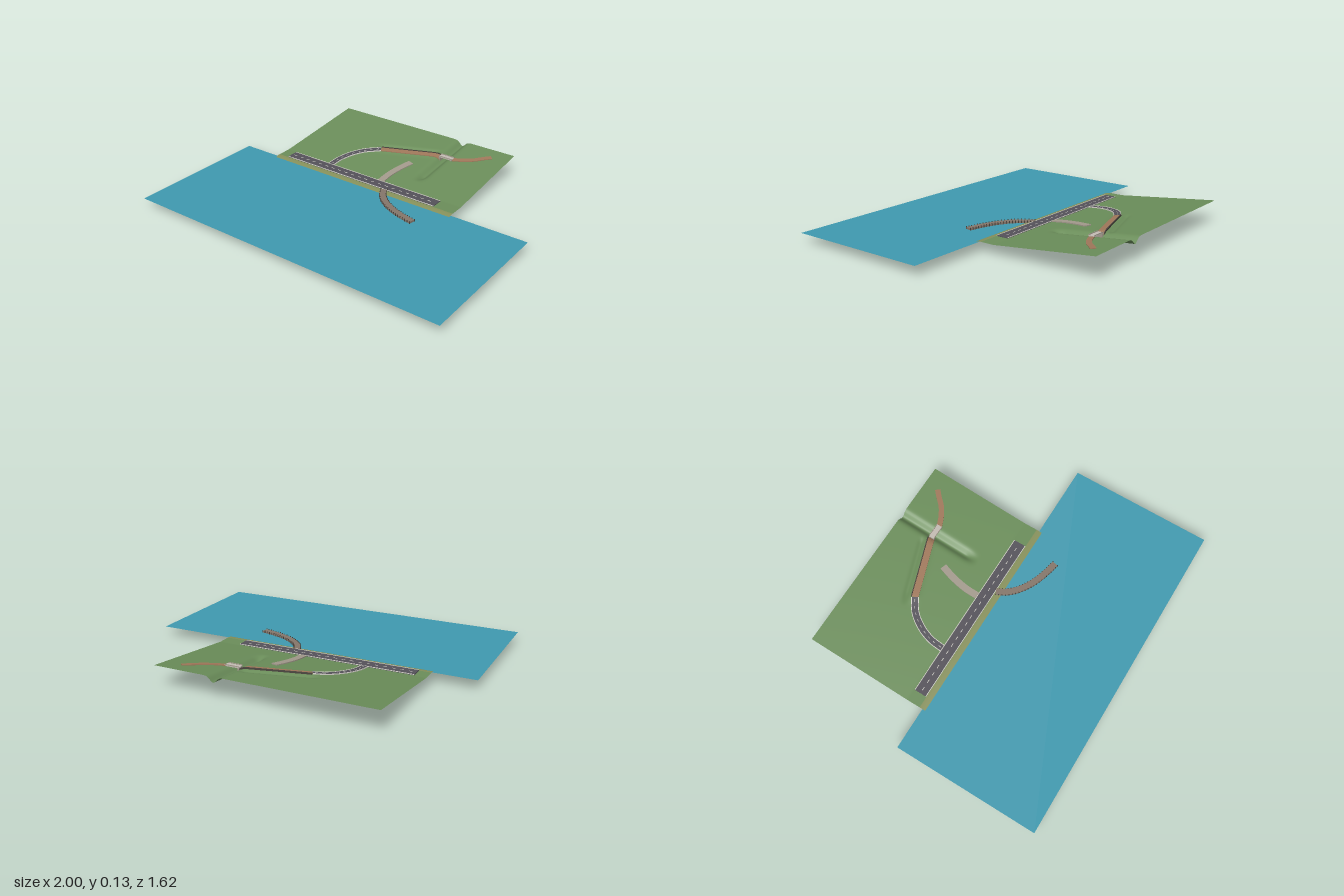
import * as THREE from 'three';
import { mergeGeometries } from 'three/addons/utils/BufferGeometryUtils.js';

export function createModel() {
  const root = new THREE.Group();
  const mat = (name, color, double) => {
    const m = new THREE.MeshStandardMaterial({ color });
    m.name = name;
    if (double) m.side = THREE.DoubleSide;
    return m;
  };
  const grass = mat('grass', 0x6b8e5a, true), shore = mat('shore', 0x86905a, true);
  const sea = mat('water', 0x3f9ab0, true), asphalt = mat('asphalt', 0x55525a);
  const paint = mat('paint', 0xd2d0c8), earth = mat('earth', 0xa0785a);
  const stone = mat('stone', 0xa39a8c), concrete = mat('concrete', 0xc4bcb4);
  const timber = mat('timber', 0x85766a), dark = mat('darkRail', 0x4a443e);

  const add = (name, geo, material) => {
    const m = new THREE.Mesh(geo, material);
    m.name = name;
    root.add(m);
    return m;
  };
  const bump = (d, w) => Math.exp(-((d / w) ** 2));
  const step = THREE.MathUtils.smoothstep;

  // Ground height: seabed, road shelf, slope, raised trail with ditch, gully
  function ground(x, z) {
    if (z > -0.075) return 0.0625 * (0.19 - z) / 0.265;
    let y = 0.0625 + 0.112 * Math.max(0, -0.175 - z);
    const px = x + 0.23, pz = z + 0.46;
    const along = px * 0.949 - pz * 0.316, d = -px * 0.316 - pz * 0.949;
    const fade = step(along, -0.06, 0.03) * (1 - step(along, 0.34, 0.4));
    y += fade * (0.007 * bump(d, 0.026) - 0.008 * bump(d - 0.055, 0.016));
    const deep = step(-z, 0.27, 0.37) * (0.026 + 0.016 * Math.max(0, -z - 0.37));
    return y - deep * bump(x - 0.165, 0.026);
  }

  function land(name, z0, z1, nx, nz, material) {
    const g = new THREE.PlaneGeometry(1.28, z1 - z0, nx, nz);
    g.rotateX(-Math.PI / 2).translate(-0.11, 0, (z0 + z1) / 2);
    const p = g.attributes.position;
    for (let i = 0; i < p.count; i++) p.setY(i, ground(p.getX(i), p.getZ(i)));
    g.computeVertexNormals();
    add(name, g, material);
  }
  land('hillside', -0.81, -0.088, 150, 100, grass);
  land('shore', -0.088, 0.19, 8, 20, shore);

  const water = new THREE.PlaneGeometry(2, 0.875);
  water.rotateX(-Math.PI / 2).translate(0, 0.057, 0.3675);
  add('water', water, sea);

  const path = pts => new THREE.CatmullRomCurve3(pts.map(([x, z]) => new THREE.Vector3(x, 0, z)));
  // Point beside a path at offset o
  function beside(curve, t, o) {
    const p = curve.getPointAt(t), d = curve.getTangentAt(t);
    return [p.x - d.z * o, p.z + d.x * o];
  }
  // Solid band following a path between two side offsets
  function band(curve, a, b, height, thick, t0 = 0, t1 = 1, n = 48) {
    const pos = [], idx = [];
    for (let i = 0; i <= n; i++) {
      const t = t0 + (t1 - t0) * i / n;
      const [ax, az] = beside(curve, t, a), [bx, bz] = beside(curve, t, b);
      const ya = height(ax, az), yb = height(bx, bz);
      pos.push(ax, ya, az, bx, yb, bz, bx, yb - thick, bz, ax, ya - thick, az);
      if (i < n) for (let k = 0; k < 4; k++) {
        const p = i * 4 + k, q = i * 4 + (k + 1) % 4;
        idx.push(p, q, p + 4, q, q + 4, p + 4);
      }
    }
    const e = n * 4;
    idx.push(0, 2, 1, 0, 3, 2, e, e + 1, e + 2, e, e + 2, e + 3);
    let g = new THREE.BufferGeometry();
    g.setAttribute('position', new THREE.Float32BufferAttribute(pos, 3));
    g.setIndex(idx);
    g = g.toNonIndexed();
    g.computeVertexNormals();
    return g;
  }
  const above = h => (x, z) => ground(x, z) + h;
  const level = h => () => h;
  const box = (w, h, d, x, y, z) => new THREE.BoxGeometry(w, h, d).translate(x, y, z);

  // Coast road with edge lines and centre dashes
  add('coastRoad', box(1.08, 0.004, 0.076, -0.14, 0.0645, -0.128), asphalt);
  const lines = [-1, 1].map(s => box(1.08, 0.003, 0.004, -0.14, 0.0665, -0.128 + s * 0.037));
  for (let x = -0.65; x < 0.39; x += 0.05) lines.push(box(0.022, 0.002, 0.004, x, 0.0665, -0.128));
  add('roadMarkings', mergeGeometries(lines), paint);

  // Curved side road
  const side = path([[-0.395, -0.165], [-0.387, -0.25], [-0.355, -0.335], [-0.3, -0.41], [-0.225, -0.462]]);
  add('sideRoad', band(side, -0.019, 0.019, above(0.005), 0.004), asphalt);
  const sideLines = [-1, 1].map(s => band(side, s * 0.02 - 0.002, s * 0.02 + 0.002, above(0.007), 0.005));
  for (let i = 0; i < 9; i++)
    sideLines.push(band(side, -0.0015, 0.0015, above(0.006), 0.002, i / 9 + 0.03, i / 9 + 0.075, 2));
  add('sideRoadMarkings', mergeGeometries(sideLines), paint);

  // Earth trail on both banks of the gully, with a dark wall uphill
  const trail = path([[-0.225, -0.462], [-0.05, -0.52], [0.06, -0.557], [0.14, -0.584]]);
  add('lowerTrail', band(trail, -0.019, 0.019, above(0.004), 0.005), earth);
  add('trailWall', band(trail, -0.024, -0.019, above(0.009), 0.012), dark);
  const upper = path([[0.225, -0.585], [0.28, -0.608], [0.34, -0.645], [0.385, -0.69], [0.42, -0.722]]);
  add('upperTrail', band(upper, -0.016, 0.016, above(0.004), 0.005), earth);

  // Footbridge over the gully
  add('bridgeDeck', box(0.09, 0.006, 0.034, 0.183, 0.113, -0.584), concrete);
  add('bridgeAbutments', mergeGeometries([0.143, 0.222].map(x =>
    box(0.012, 0.034, 0.036, x, 0.094, -0.584))), stone);
  add('bridgeRails', mergeGeometries([-1, 1].map(s =>
    box(0.09, 0.004, 0.003, 0.183, 0.119, -0.584 + s * 0.017))), stone);

  // Paved footpath climbing from the road
  const walk = path([[-0.018, -0.166], [-0.017, -0.25], [-0.002, -0.34], [0.024, -0.428]]);
  add('footpath', band(walk, -0.021, 0.021, above(0.006), 0.006), stone);

  // Curved pier with kerbs and posts
  const pier = path([[0.062, -0.088], [0.09, -0.035], [0.145, 0.022], [0.23, 0.072], [0.31, 0.1], [0.395, 0.12]]);
  add('pierDeck', band(pier, -0.019, 0.019, level(0.068), 0.015), timber);
  const posts = [];
  for (let i = 0; i <= 22; i++) for (const s of [-1, 1]) {
    const [x, z] = beside(pier, i / 22, s * 0.019);
    posts.push(box(0.004, 0.02, 0.004, x, 0.0625, z));
  }
  add('pierPosts', mergeGeometries(posts), dark);
  return root;
}
